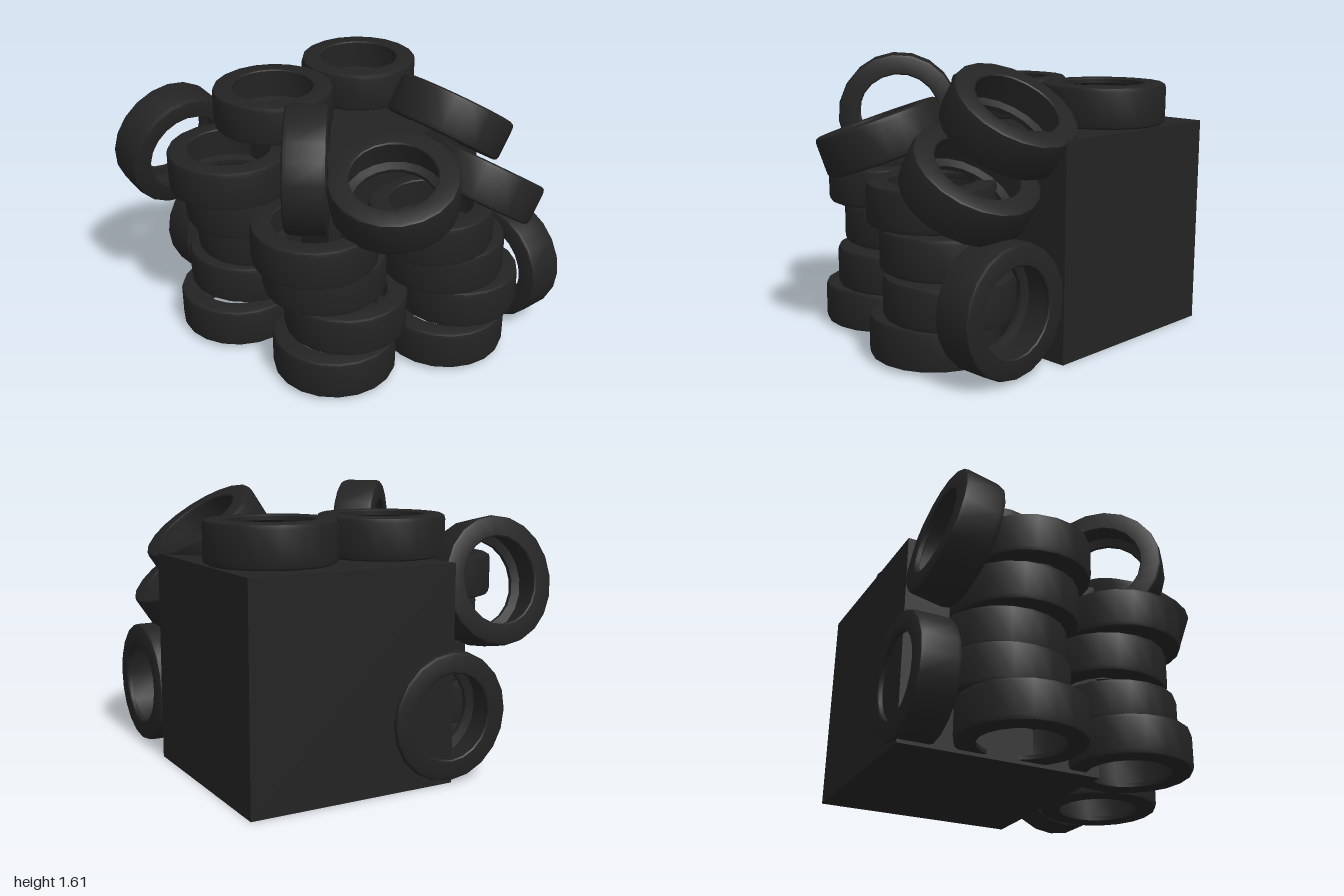
import * as THREE from 'three';
import { toCreasedNormals } from 'three/addons/utils/BufferGeometryUtils.js';

export function createModel() {
  const model = new THREE.Group();
  model.name = 'tirePile';
  const rubber = new THREE.MeshStandardMaterial({ color: 0x242324 });

  // Tire cross-section: tread, rounded shoulders, sidewalls, beads and hollow inside
  const R = 0.363, H = 0.119;
  const half = [[R, H - 0.03], [R - 0.006, H - 0.008], [R - 0.02, H], [0.25, H], [0.243, H - 0.006], [0.243, H - 0.03], [0.29, H - 0.045]];
  const profile = [
    ...half.map(([r, y]) => [r, -y]).reverse(),
    ...half,
  ].map(([r, y]) => new THREE.Vector2(r, y));
  profile.push(profile[0].clone());
  const tireGeometry = toCreasedNormals(new THREE.LatheGeometry(profile, 20), 0.7);

  const up = new THREE.Vector3(0, 1, 0);
  function addTire(name, position, axis = [0, 1, 0]) {
    const tire = new THREE.Mesh(tireGeometry, rubber);
    tire.name = name;
    tire.position.set(...position);
    tire.quaternion.setFromUnitVectors(up, new THREE.Vector3(...axis).normalize());
    model.add(tire);
  }

  // Large solid block at the back
  const block = new THREE.Mesh(new THREE.BoxGeometry(1.22, 1.22, 1.22), rubber);
  block.name = 'block';
  block.position.set(0.33, 0.61, -0.34);
  model.add(block);

  // Uneven stacks of lying tires, [x, z] from the ground up
  const stacks = {
    frontStackTire: [[0.325, 0.635], [0.43, 0.625], [0.345, 0.575], [0.235, 0.575]],
    middleStackTire: [[-0.36, 0.42], [-0.26, 0.4], [-0.33, 0.29], [-0.43, 0.33]],
    backStackTire: [[-0.5, -0.34], [-0.39, -0.39], [-0.33, -0.38], [-0.42, -0.35], [-0.53, -0.335]],
  };
  for (const [name, centres] of Object.entries(stacks)) {
    centres.forEach(([x, z], i) => addTire(name, [x, 0.139 + i * 0.237, z]));
  }

  // Tires lying on the block
  addTire('blockTopTire', [0.58, 1.339, -0.47]);
  addTire('blockTopTire', [-0.14, 1.339, -0.42]);

  // Tires standing on edge
  addTire('standingFrontTire', [0.83, 0.38, 0.635], [1, 0, 0]);
  addTire('standingBackTire', [-0.26, 0.38, -0.86], [0, 0, -1]);

  // Loose tilted tires
  addTire('leaningBackTire', [-0.605, 1.08, -0.81], [0, 0.2, -0.98]);
  addTire('uprightTire', [-0.415, 1.25, 0.25], [0.75, 0, 0.66]);
  addTire('tiltedFrontTire', [-0.115, 1.17, 0.63], [-0.27, 0.94, 0.2]);
  addTire('upperSlopedTire', [0.595, 1.305, 0.345], [0.56, 0.83, 0]);
  addTire('lowerSlopedTire', [0.585, 0.995, 0.625], [0.56, 0.83, 0]);

  return model;
}
